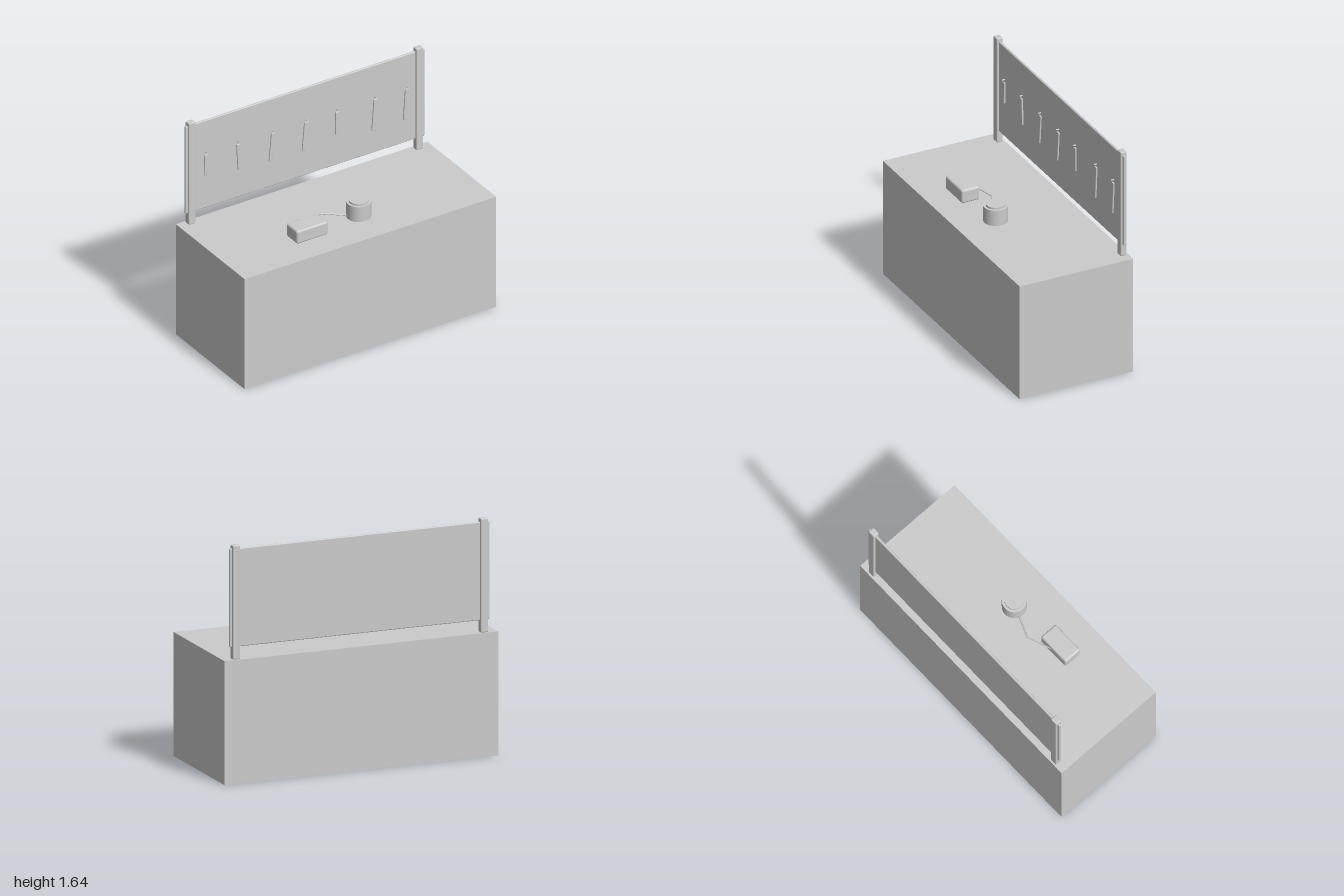
import * as THREE from 'three';
import { RoundedBoxGeometry } from 'three/addons/geometries/RoundedBoxGeometry.js';

const material = new THREE.MeshStandardMaterial({ color: 0xcccccc });
const TOP = 0.857; // height of the bench top

function add(parent, name, geometry, x, y, z) {
  const mesh = new THREE.Mesh(geometry, material);
  mesh.name = name;
  mesh.position.set(x, y, z);
  parent.add(mesh);
  return mesh;
}

export function createModel() {
  const model = new THREE.Group();
  model.name = 'workbench';

  // Solid bench block
  add(model, 'bench', new THREE.BoxGeometry(2, TOP, 0.855), 0, TOP / 2, 0);

  // Back board held between two posts
  const boardZ = -0.392;
  add(model, 'backBoard', new RoundedBoxGeometry(1.9, 0.68, 0.018, 3, 0.007), 0, 1.28, boardZ);
  for (const side of [-1, 1]) {
    add(model, side > 0 ? 'leftPost' : 'rightPost',
      new RoundedBoxGeometry(0.055, 0.79, 0.046, 3, 0.008), side * 0.905, TOP + 0.393, boardZ);
  }

  // Hanging tools: peg x, length, tilt
  const tools = [
    [-0.79, 0.16, -0.03], [-0.535, 0.195, 0.06], [-0.262, 0.215, -0.09], [0.001, 0.22, -0.09],
    [0.25, 0.175, 0], [0.553, 0.24, -0.07], [0.803, 0.235, -0.07],
  ];
  const toolZ = -0.377;
  for (const [x, length, tilt] of tools) {
    const tool = new THREE.Group();
    tool.name = 'hangingTool';
    tool.position.set(x, 1.357, 0);
    model.add(tool);
    const peg = add(tool, 'peg', new THREE.CylinderGeometry(0.005, 0.005, 0.026, 10), 0, 0.018, toolZ + 0.003);
    peg.rotation.x = Math.PI / 2;
    const handle = add(tool, 'handle', new RoundedBoxGeometry(0.028, length, 0.012, 2, 0.004),
      Math.sin(tilt) * length * 0.35, -length / 2, toolZ);
    handle.rotation.z = tilt;
  }

  // Small box and round pot on the bench
  add(model, 'smallBox', new RoundedBoxGeometry(0.246, 0.1, 0.135, 4, 0.014), -0.337, TOP + 0.05, 0.169);
  const pot = new THREE.Group();
  pot.name = 'pot';
  pot.position.set(0.091, TOP, 0.14);
  model.add(pot);
  add(pot, 'potBody', new THREE.CylinderGeometry(0.084, 0.084, 0.115, 40), 0, 0.0575, 0);
  add(pot, 'potLid', new THREE.CylinderGeometry(0.066, 0.066, 0.014, 40), 0, 0.121, 0);

  // Bent cable joining the box and the pot
  const cable = new THREE.CurvePath();
  const points = [[-0.335, 0.925, 0.11], [-0.145, 0.903, 0.045], [0.025, 0.869, 0.118]]
    .map((p) => new THREE.Vector3(...p));
  for (let i = 0; i < 2; i++) cable.add(new THREE.LineCurve3(points[i], points[i + 1]));
  add(model, 'cable', new THREE.TubeGeometry(cable, 40, 0.005, 8), 0, 0, 0);

  return model;
}
